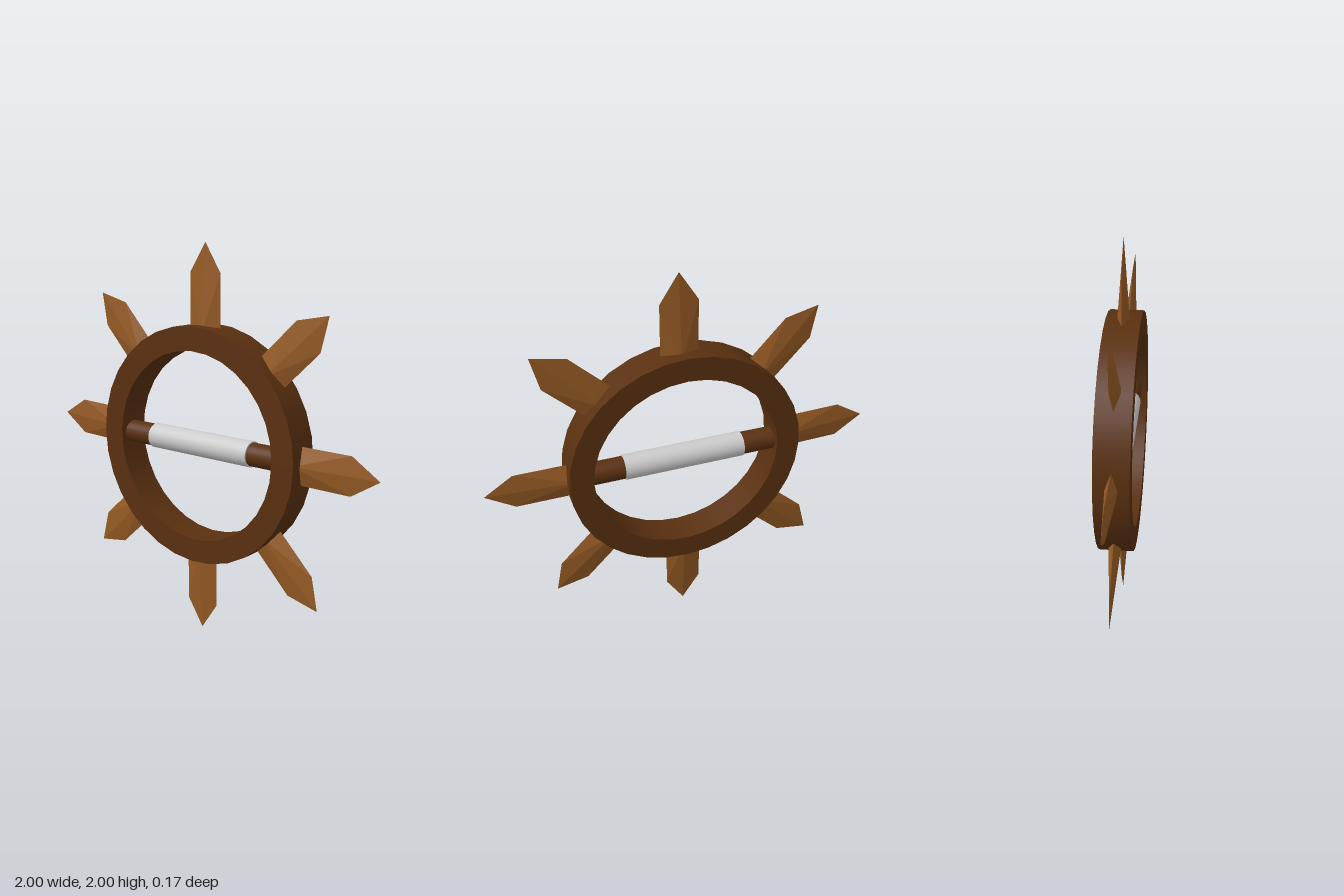
import * as THREE from 'three';

const mat = (name, color) => {
  const m = new THREE.MeshStandardMaterial({ color });
  m.name = name;
  return m;
};

// Diamond-section blade: tip at the origin pointing along +x, ridges tapering to the tip
function bladeGeometry() {
  const length = 0.44, shoulder = 0.145, half = 0.094, thick = 0.033;
  const tip = [0, 0, 0];
  const geo = new THREE.BufferGeometry();
  const pos = [];
  for (const sy of [1, -1]) {
    for (const sz of [1, -1]) {
      const sh = [-shoulder, sy * half, 0];
      const base = [-length, sy * half, 0];
      const ridge = [-length, 0, sz * thick];
      const mid = [-length, 0, 0];
      const tris = [[ridge, tip, sh], [ridge, sh, base], [ridge, base, mid]];
      for (const [a, b, c] of tris) pos.push(...a, ...(sy * sz > 0 ? [...b, ...c] : [...c, ...b]));
    }
  }
  geo.setAttribute('position', new THREE.Float32BufferAttribute(pos, 3));
  geo.computeVertexNormals();
  return geo;
}

export function createModel() {
  const group = new THREE.Group();
  group.name = 'bladedRing';
  const darkWood = mat('dark brown', 0x5a3010);
  const bladeBrown = mat('light brown', 0x955a24);
  const gripGrey = mat('light grey', 0xcccccc);
  const centreY = 1.005;

  const add = (name, geo, material, x = 0, y = centreY, z = 0) => {
    const mesh = new THREE.Mesh(geo, material);
    mesh.name = name;
    mesh.position.set(x, y, z);
    group.add(mesh);
    return mesh;
  };

  // Flat ring: each wall has its own points so the rims stay sharp
  const R = 0.602, r = 0.481, d = 0.084;
  const ring = new THREE.Group();
  ring.name = 'ring';
  ring.position.y = centreY;
  const walls = [
    ['outerWall', [[R, -d], [R, d]]],
    ['frontFace', [[R, d], [r, d]]],
    ['innerWall', [[r, d], [r, -d]]],
    ['backFace', [[r, -d], [R, -d]]],
  ];
  for (const [name, pts] of walls) {
    const geo = new THREE.LatheGeometry(pts.map(p => new THREE.Vector2(...p)), 32);
    geo.rotateX(Math.PI / 2);
    const mesh = new THREE.Mesh(geo, darkWood);
    mesh.name = name;
    ring.add(mesh);
  }
  group.add(ring);

  // Handle bar across the ring with a wrapped grip
  add('handleBar', new THREE.CylinderGeometry(0.058, 0.058, 0.98, 24).rotateZ(Math.PI / 2), darkWood);
  add('grip', new THREE.CylinderGeometry(0.064, 0.064, 0.624, 24).rotateZ(Math.PI / 2), gripGrey);

  // Blades: tip x, tip y, direction in degrees (slightly uneven, hand set)
  const blades = [
    [1.0, 0.995, 0], [0.715, 1.697, 43.5], [0.018, 2.0, 89.8], [-0.685, 1.727, 133],
    [-1.0, 1.035, 178.5], [-0.732, 0.328, 222.5], [0, 0.005, 270], [0.702, 0.295, 314.5],
  ];
  const bladeGeo = bladeGeometry();
  blades.forEach(([x, y, angle], i) => {
    add(`blade${i + 1}`, bladeGeo, bladeBrown, x, y).rotation.z = THREE.MathUtils.degToRad(angle);
  });

  return group;
}
